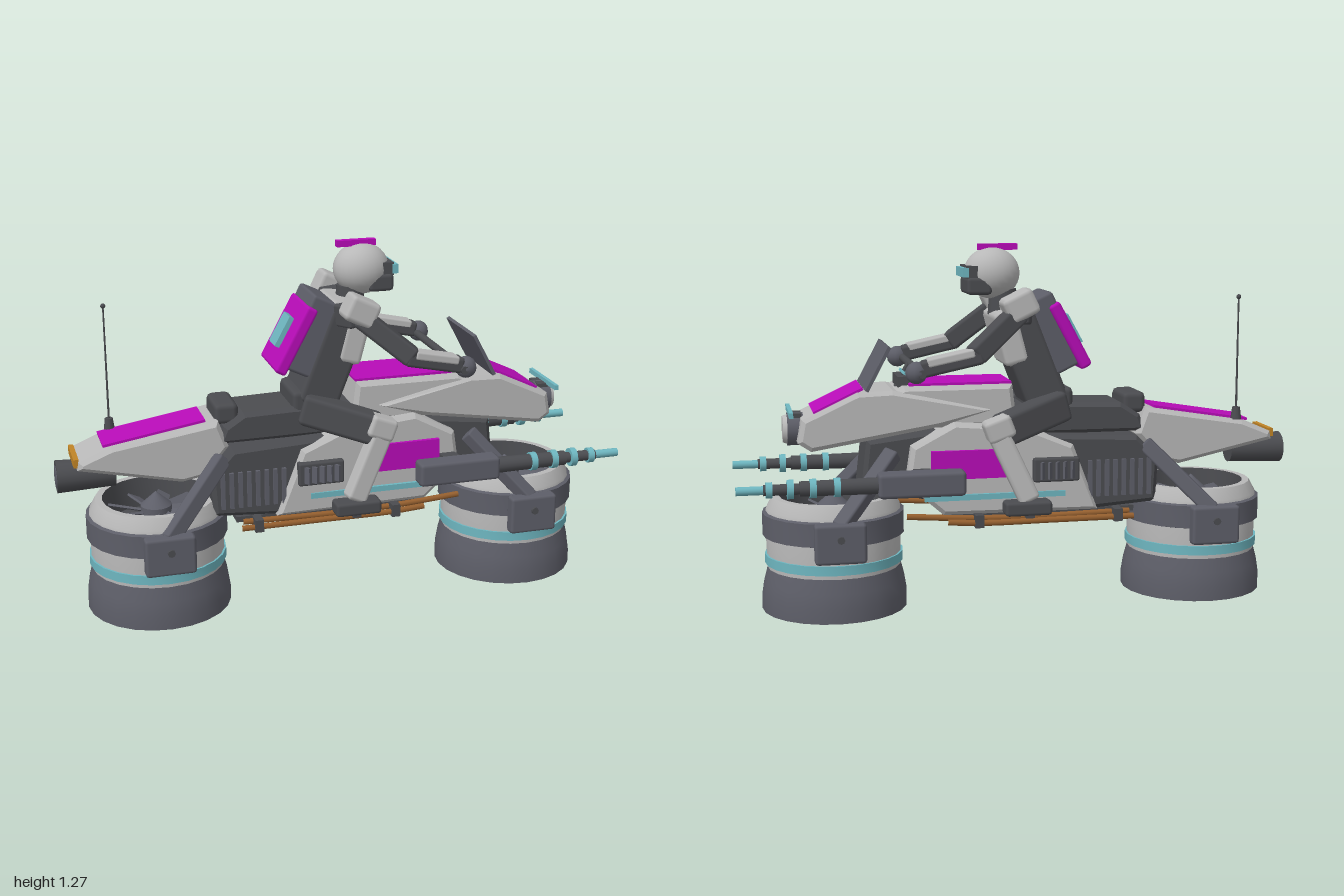
import * as THREE from 'three';
import { toCreasedNormals } from 'three/addons/utils/BufferGeometryUtils.js';
import { RoundedBoxGeometry } from 'three/addons/geometries/RoundedBoxGeometry.js';

const paint = (name, color) => {
  const m = new THREE.MeshStandardMaterial({ color });
  m.name = name;
  return m;
};

export function createModel() {
  const root = new THREE.Group();
  root.name = 'hoverBikeWithRider';
  const light = paint('light grey', 0xb8b8b8), dark = paint('dark grey', 0x4b4c50);
  const slate = paint('slate', 0x5d5e68), magenta = paint('magenta', 0xb80cb8);
  const teal = paint('teal', 0x6eb6c0), copper = paint('copper', 0x96602f);
  const amber = paint('amber', 0xc08426);
  const group = (name) => { const g = new THREE.Group(); g.name = name; root.add(g); return g; };

  const add = (name, geo, mat, [x, y, z] = [0, 0, 0], parent = root) => {
    const m = new THREE.Mesh(geo, mat);
    m.name = name;
    m.position.set(x, y, z);
    parent.add(m);
    return m;
  };
  // Box given by centre and size, with softened edges when r > 0
  const box = (name, mat, pos, [w, h, d], r = 0, parent = root, tilt = 0) => {
    const geo = r ? new RoundedBoxGeometry(w, h, d, 1, r) : new THREE.BoxGeometry(w, h, d);
    const m = add(name, geo, mat, pos, parent);
    m.rotation.z = tilt;
    return m;
  };
  // Bar with a rectangular section running from a to b
  const beam = (name, mat, a, b, h, d, r = 0, parent = root) => {
    const A = new THREE.Vector3(...a), B = new THREE.Vector3(...b), dir = B.clone().sub(A);
    const mid = A.clone().add(B).multiplyScalar(0.5);
    const m = box(name, mat, mid.toArray(), [dir.length(), h, d], r, parent);
    m.quaternion.setFromUnitVectors(new THREE.Vector3(1, 0, 0), dir.normalize());
    return m;
  };
  // Cylinder whose axis runs along x
  const rodX = (name, mat, x0, x1, y, z, r0, r1 = r0, parent = root, sides = 16) => {
    const geo = new THREE.CylinderGeometry(r1, r0, x1 - x0, sides).rotateZ(-Math.PI / 2);
    return add(name, geo, mat, [(x0 + x1) / 2, y, z], parent);
  };
  // Side outline extruded across z with chamfers; width tapers from w0 to w1 along x
  const slab = (name, mat, pts, w0, w1 = w0, b = 0.015) => {
    const shape = new THREE.Shape(pts.map(([x, y]) => new THREE.Vector2(x, y)));
    const geo = new THREE.ExtrudeGeometry(shape, {
      depth: w0 - 2 * b, bevelEnabled: true, bevelThickness: b, bevelSize: b, bevelOffset: -b, bevelSegments: 1,
    }).translate(0, 0, b - w0 / 2);
    const xs = pts.map((p) => p[0]), lo = Math.min(...xs), hi = Math.max(...xs);
    const p = geo.attributes.position;
    for (let i = 0; i < p.count; i++) {
      p.setZ(i, p.getZ(i) * THREE.MathUtils.lerp(1, w1 / w0, (p.getX(i) - lo) / (hi - lo)));
    }
    geo.computeVertexNormals();
    return add(name, geo, mat);
  };
  const lathe = (pts) => toCreasedNormals(
    new THREE.LatheGeometry(pts.map(([r, y]) => new THREE.Vector2(r, y)), 24), 0.5);

  // Lift pods
  for (const px of [-0.66, 0.66]) {
    const pod = group(px < 0 ? 'rearPod' : 'frontPod');
    pod.position.x = px;
    const put = (n, g, m, pos) => add(n, g, m, pos, pod);
    put('skirt', lathe([[0.19, 0.02], [0.2, 0], [0.255, 0], [0.255, 0.05], [0.247, 0.1], [0.234, 0.15]]), slate);
    put('thrustDisc', new THREE.CircleGeometry(0.2, 24).rotateX(Math.PI / 2), teal, [0, 0.012, 0]);
    put('shell', lathe([[0.234, 0.15], [0.238, 0.34], [0.234, 0.36], [0.212, 0.4], [0.188, 0.4]]), light);
    put('glowBand', lathe([[0.23, 0.165], [0.242, 0.165], [0.242, 0.198], [0.23, 0.198]]), teal);
    put('collar', lathe([[0.23, 0.26], [0.248, 0.265], [0.248, 0.345], [0.23, 0.352]]), slate);
    put('intake', lathe([[0.188, 0.4], [0.18, 0.29], [0, 0.29]]), dark);
    put('hub', lathe([[0.055, 0.29], [0.055, 0.365], [0, 0.415]]), slate);
    for (let i = 0; i < 10; i++) {
      const blade = new THREE.BoxGeometry(0.14, 0.008, 0.05).rotateX(0.5).translate(0.11, 0, 0);
      put('fanBlade', blade, slate, [0, 0.335, 0]).rotation.y = (i * Math.PI) / 5;
    }
    // Mounting plates and struts to the chassis
    for (const s of [1, -1]) {
      box('podBracket', slate, [0, 0.283, s * 0.263], [0.175, 0.138, 0.05], 0.012, pod);
      put('bracketBolt', new THREE.CylinderGeometry(0.013, 0.013, 0.012, 8).rotateX(Math.PI / 2), dark, [0, 0.3, s * 0.291]);
      const inner = px < 0 ? -0.44 : 0.46;
      beam('podStrut', slate, [px, 0.33, s * 0.245], [inner, 0.56, s * 0.12], 0.055, 0.05, 0.008);
    }
  }

  // Chassis and lower fairing
  slab('rearChassis', dark, [[-0.48, 0.35], [-0.2, 0.33], [0.05, 0.4], [0, 0.61], [-0.41, 0.59], [-0.49, 0.51]], 0.29);
  slab('frontChassis', dark, [[0.25, 0.36], [0.42, 0.4], [0.57, 0.43], [0.55, 0.6], [0.3, 0.63]], 0.21);
  slab('lowerFairing', light, [[-0.26, 0.335], [0.29, 0.335], [0.42, 0.45], [0.4, 0.58], [0.25, 0.66], [0, 0.64], [-0.17, 0.57]], 0.335, 0.3);
  box('bellyPlate', dark, [-0.06, 0.326, 0], [0.68, 0.02, 0.26]);

  // Tail, with lamp, exhaust and aerial
  slab('tailFairing', light, [[-0.935, 0.55], [-0.93, 0.58], [-0.82, 0.625], [-0.45, 0.685], [-0.415, 0.59], [-0.5, 0.49], [-0.58, 0.475]], 0.2, 0.225);
  beam('tailPanel', magenta, [-0.845, 0.625, 0], [-0.49, 0.683, 0], 0.009, 0.15);
  box('tailLamp', amber, [-0.937, 0.573, 0], [0.018, 0.03, 0.16]);
  rodX('exhaust', dark, -1, -0.8, 0.505, 0, 0.057, 0.05);
  rodX('exhaustBore', slate, -1.003, -0.99, 0.505, 0, 0.04);
  add('aerialBase', new THREE.CylinderGeometry(0.014, 0.02, 0.045, 10), dark, [-0.8, 0.65, -0.08]);
  add('aerial', new THREE.CylinderGeometry(0.003, 0.004, 0.41, 6), dark, [-0.8, 0.87, -0.08]);
  add('aerialTip', new THREE.SphereGeometry(0.009, 8, 6), dark, [-0.8, 1.073, -0.08]);

  // Seat
  slab('seat', dark, [[-0.45, 0.6], [-0.43, 0.66], [-0.36, 0.705], [-0.18, 0.71], [0.05, 0.7], [0.05, 0.6]], 0.21);
  box('seatBack', dark, [-0.415, 0.7, 0], [0.085, 0.075, 0.165], 0.02);

  // Tank, nose, screen and headlamp
  slab('tank', light, [[0.03, 0.7], [0.04, 0.785], [0.42, 0.785], [0.5, 0.74], [0.35, 0.64], [0.05, 0.64]], 0.25);
  box('tankPanel', magenta, [0.22, 0.789, 0], [0.36, 0.009, 0.2]);
  slab('nose', light, [[0.12, 0.7], [0.46, 0.775], [0.58, 0.77], [0.77, 0.68], [0.785, 0.6], [0.74, 0.57], [0.3, 0.645]], 0.3, 0.235);
  beam('nosePanel', magenta, [0.56, 0.782, 0], [0.73, 0.702, 0], 0.009, 0.21);
  beam('windscreen', slate, [0.55, 0.775, 0], [0.47, 0.925, 0], 0.012, 0.27);
  box('dashDisplay', teal, [0.39, 0.815, 0], [0.05, 0.009, 0.13], 0, root, 0.45);
  box('dashMount', dark, [0.41, 0.795, 0], [0.05, 0.04, 0.14]);
  rodX('headlampHousing', slate, 0.76, 0.815, 0.635, 0, 0.058);
  rodX('headlamp', light, 0.815, 0.83, 0.635, 0, 0.052, 0.047);
  box('lightBar', teal, [0.805, 0.697, 0], [0.014, 0.018, 0.23]);
  box('lightBarMount', dark, [0.785, 0.685, 0], [0.04, 0.014, 0.08]);
  add('handlebar', new THREE.CylinderGeometry(0.014, 0.014, 0.56, 10).rotateX(Math.PI / 2), dark, [0.38, 0.848, 0]);
  beam('steeringStem', dark, [0.38, 0.848, 0], [0.43, 0.76, 0], 0.03, 0.04);

  // Paired bodywork details and guns
  for (const s of [1, -1]) {
    const side = group(s > 0 ? 'leftSide' : 'rightSide');
    const panel = new THREE.Shape([[0.05, 0.465], [0.335, 0.465], [0.335, 0.565], [0.1, 0.565]].map((p) => new THREE.Vector2(...p)));
    add('sidePanel', new THREE.ExtrudeGeometry(panel, { depth: 0.02, bevelEnabled: false }), magenta, [0, 0, s * 0.158 - 0.01], side);
    box('sideStripe', teal, [0.11, 0.4, s * 0.163], [0.5, 0.02, 0.012], 0, side);
    box('ventBox', dark, [-0.105, 0.487, s * 0.165], [0.165, 0.085, 0.04], 0.008, side);
    for (let i = 0; i < 5; i++) {
      box('ventFin', slate, [-0.16 + i * 0.027, 0.487, s * 0.19], [0.008, 0.06, 0.025], 0, side).rotation.y = s * 0.6;
    }
    for (let i = 0; i < 8; i++) {
      box('coolingRib', slate, [-0.45 + i * 0.031, 0.445, s * 0.146], [0.014, 0.13, 0.022], 0, side);
    }
    // Copper lines under the sill
    const pipe = (y, z, pts) => new THREE.TubeGeometry(new THREE.CatmullRomCurve3(
      pts.map(([x, dy]) => new THREE.Vector3(x, y + dy, s * z))), 24, 0.011, 8);
    add('lowerPipe', pipe(0.306, 0.165, [[-0.39, 0], [-0.1, 0], [0.15, 0], [0.28, 0.008]]), copper, undefined, side);
    add('upperPipe', pipe(0.32, 0.14, [[-0.38, 0], [0, -0.005], [0.2, 0], [0.42, 0.015]]), copper, undefined, side);
    for (const x of [-0.33, 0.17]) box('pipeClamp', dark, [x, 0.315, s * 0.155], [0.03, 0.045, 0.06], 0, side);

    // Side gun
    const z = s * 0.235;
    box('gunBody', slate, [0.38, 0.47, z], [0.3, 0.086, 0.076], 0.014, side);
    beam('gunMount', dark, [0.36, 0.48, s * 0.1], [0.38, 0.48, z], 0.05, 0.06, 0, side);
    rodX('gunBarrel', dark, 0.52, 0.79, 0.47, z, 0.029, 0.026, side);
    rodX('gunMuzzle', dark, 0.79, 0.91, 0.47, z, 0.019, 0.019, side);
    rodX('gunTip', teal, 0.9, 1, 0.47, z, 0.015, 0.015, side);
    for (const [x, r] of [[0.655, 0.033], [0.735, 0.033], [0.81, 0.033], [0.88, 0.027]]) {
      rodX('gunRing', teal, x, x + 0.022, 0.47, z, r, r, side);
    }
  }

  // Rider: body and pack
  const rider = group('rider');
  box('hips', dark, [-0.1, 0.715, 0], [0.17, 0.1, 0.2], 0.02, rider);
  beam('torso', dark, [-0.1, 0.7, 0], [0.03, 1.03, 0], 0.15, 0.21, 0.02, rider);
  beam('chestPlate', light, [0.015, 0.85, 0], [0.065, 1.04, 0], 0.09, 0.22, 0.02, rider);
  beam('collarYoke', light, [-0.04, 1.05, 0], [0.07, 1.04, 0], 0.06, 0.2, 0.015, rider);
  beam('packFrame', slate, [-0.17, 0.83, 0], [-0.05, 1.08, 0], 0.12, 0.2, 0.012, rider);
  beam('packShell', magenta, [-0.232, 0.835, 0], [-0.11, 1.06, 0], 0.045, 0.22, 0.012, rider);
  beam('packDisplay', teal, [-0.225, 0.915, 0], [-0.17, 1.015, 0], 0.018, 0.08, 0, rider);

  // Rider: head
  add('neck', new THREE.CylinderGeometry(0.048, 0.055, 0.09, 12), dark, [0.05, 1.065, 0], rider);
  add('helmet', new THREE.SphereGeometry(0.09, 24, 16).scale(1.1, 1, 0.95), light, [0.09, 1.165, 0], rider);
  box('chinGuard', dark, [0.145, 1.123, 0], [0.09, 0.062, 0.148], 0.014, rider);
  box('visorFrame', dark, [0.17, 1.17, 0], [0.04, 0.045, 0.13], 0, rider);
  box('visor', teal, [0.194, 1.17, 0], [0.02, 0.032, 0.14], 0, rider);
  box('crest', magenta, [0.07, 1.256, 0], [0.14, 0.022, 0.026], 0, rider);

  // Rider: limbs
  for (const s of [1, -1]) {
    const limb = (n, m, a, b, h, d, r) => beam(n, m, [a[0], a[1], s * a[2]], [b[0], b[1], s * b[2]], h, d, r, rider);
    limb('shoulder', dark, [0, 1.03, 0.08], [0.03, 1.04, 0.17], 0.08, 0.08, 0.01);
    box('shoulderPad', light, [0.03, 1.063, s * 0.183], [0.115, 0.092, 0.095], 0.018, rider, -0.45);
    limb('upperArm', dark, [0.03, 1.04, 0.18], [0.2, 0.9, 0.25], 0.07, 0.07, 0.012);
    limb('forearm', dark, [0.17, 0.905, 0.25], [0.38, 0.86, 0.243], 0.056, 0.06, 0.012);
    limb('forearmGuard', light, [0.2, 0.915, 0.25], [0.36, 0.882, 0.245], 0.03, 0.065, 0.008);
    add('glove', new THREE.SphereGeometry(0.038, 10, 8), slate, [0.395, 0.85, s * 0.245], rider);
    limb('thigh', dark, [-0.15, 0.705, 0.09], [0.1, 0.63, 0.185], 0.11, 0.095, 0.018);
    box('kneePad', light, [0.105, 0.643, s * 0.195], [0.1, 0.08, 0.078], 0.016, rider, -0.35);
    limb('shin', light, [0, 0.39, 0.218], [0.11, 0.63, 0.195], 0.075, 0.065, 0.014);
    box('boot', dark, [0.01, 0.368, s * 0.222], [0.165, 0.05, 0.075], 0.012, rider);
    limb('footPeg', dark, [0, 0.35, 0.12], [0.005, 0.345, 0.25], 0.022, 0.03, 0);
  }
  return root;
}
